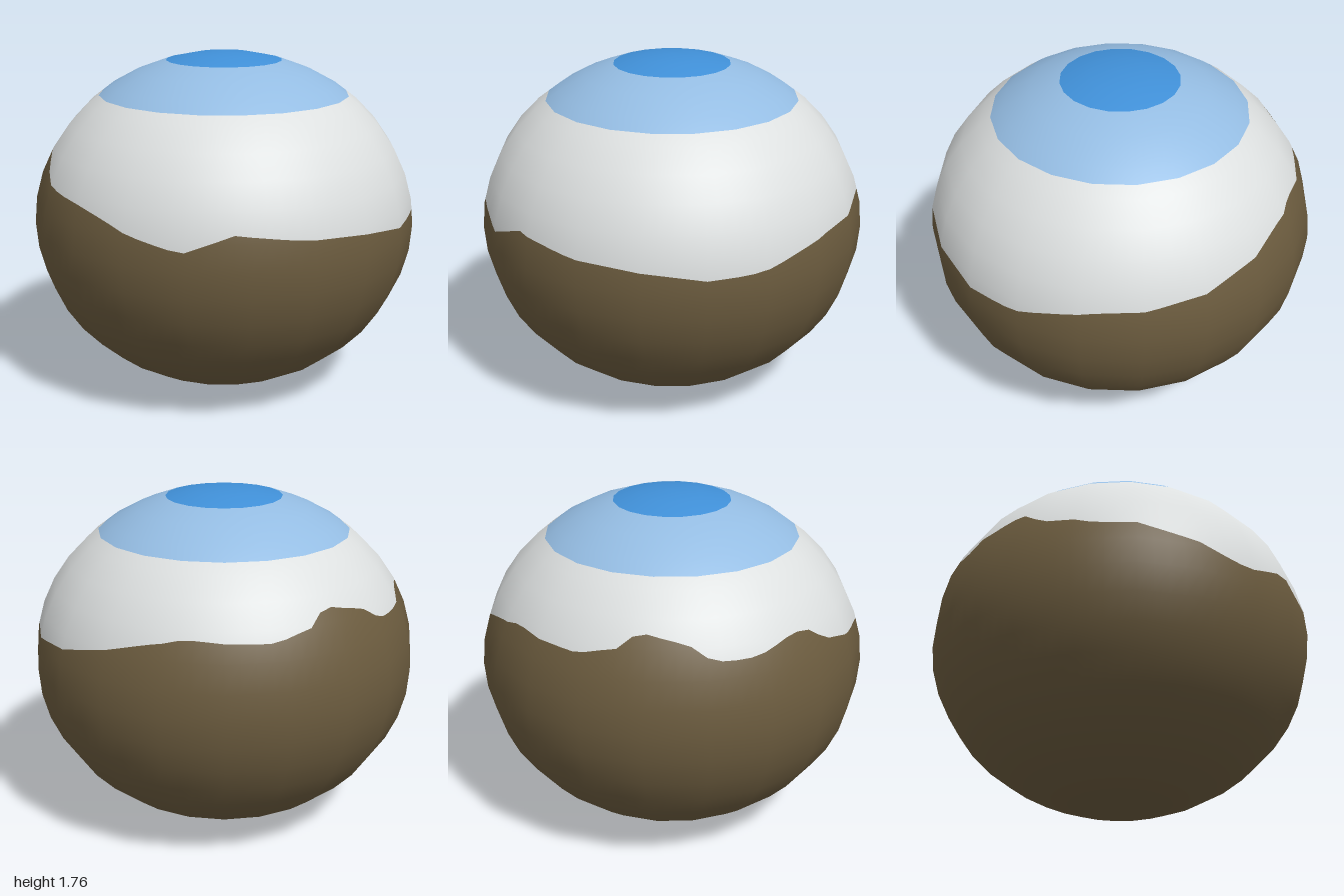
import * as THREE from 'three';

const SIDES = 20;      // facets around
const RINGS = 20;      // facets from pole to pole
const SPLIT = 4;       // columns per facet, so the ragged coast can wander
const HALF = 0.882;    // half height of the squashed globe

// Coastline: [degrees from the front towards +x, height]
const COAST = [
  [-180, 1.09], [-162, 1.16], [-150, 1.21], [-138, 1.25], [-125, 1.24], [-113, 1.23],
  [-104, 1.26], [-97, 1.28], [-93, 1.36], [-89, 1.34], [-77, 1.30], [-70, 1.23], [-60, 1.22],
  [-50, 1.25], [-42, 1.28], [-36, 1.27], [-28, 1.19], [-12, 1.13], [0, 1.12], [12, 1.07],
  [24, 1.01], [35, 0.97], [50, 1.06], [66, 1.02], [90, 0.99], [108, 0.95], [120, 0.95],
  [130, 0.98], [145, 1.04], [165, 1.06], [180, 1.09],
];

function coastHeight(deg) {
  const k = Math.max(1, COAST.findIndex(([a]) => a >= deg));
  const [a0, y0] = COAST[k - 1];
  const [a1, y1] = COAST[k];
  return THREE.MathUtils.lerp(y0, y1, (deg - a0) / (a1 - a0));
}

// Ring number (fractional, 0 at the top pole) for a height
const ringAt = (y) => Math.acos((y - HALF) / HALF) / Math.PI * RINGS;

// Corner of the faceted globe
function corner(side, ring) {
  const az = side / SIDES * Math.PI * 2, polar = ring / RINGS * Math.PI;
  return new THREE.Vector3(
    Math.sin(polar) * Math.sin(az), HALF + HALF * Math.cos(polar), Math.sin(polar) * Math.cos(az));
}

// Point on the facets between corners
function surface(side, ring) {
  const s = Math.floor(side), r = Math.min(Math.floor(ring), RINGS - 1);
  const top = corner(s, r).lerp(corner(s + 1, r), side - s);
  const low = corner(s, r + 1).lerp(corner(s + 1, r + 1), side - s);
  return top.lerp(low, ring - r);
}

// Strip of the globe between two ring functions of the azimuth in degrees
function band(name, material, upper, lower) {
  const positions = [], normals = [], index = [];
  const cols = SIDES * SPLIT, row = RINGS + 1;
  for (let i = 0; i <= cols; i++) {
    const deg = -180 + 360 * i / cols;
    const hi = upper(deg), lo = lower(deg);
    for (let j = 0; j <= RINGS; j++) {
      const p = surface(deg / 360 * SIDES, THREE.MathUtils.clamp(j, hi, lo));
      const n = new THREE.Vector3(p.x, (p.y - HALF) / (HALF * HALF), p.z).normalize();
      positions.push(p.x, p.y, p.z);
      normals.push(n.x, n.y, n.z);
    }
  }
  // Skip rows that were clamped to nothing
  const differs = (a, b) => Math.abs(positions[a * 3 + 1] - positions[b * 3 + 1]) > 1e-7;
  for (let i = 0; i < cols; i++) {
    for (let j = 0; j < RINGS; j++) {
      const a = i * row + j, b = a + 1, c = a + row, d = c + 1;
      if (differs(a, b)) index.push(a, b, c);
      if (differs(c, d)) index.push(b, d, c);
    }
  }
  const geometry = new THREE.BufferGeometry();
  geometry.setAttribute('position', new THREE.Float32BufferAttribute(positions, 3));
  geometry.setAttribute('normal', new THREE.Float32BufferAttribute(normals, 3));
  geometry.setIndex(index);
  const mesh = new THREE.Mesh(geometry, material);
  mesh.name = name;
  return mesh;
}

function paint(name, color) {
  const material = new THREE.MeshStandardMaterial({ color });
  material.name = name;
  return material;
}

export function createModel() {
  const group = new THREE.Group();
  group.name = 'globe';

  const coast = (deg) => ringAt(coastHeight(deg));
  const iceEdge = () => ringAt(1.55);
  const poolEdge = () => ringAt(1.723);

  group.add(
    band('earthBody', paint('earth brown', 0x6b5b3e), coast, () => RINGS),
    band('snowBand', paint('snow white', 0xdcdfdf), iceEdge, coast),
    band('iceRing', paint('ice blue', 0x94bce2), poolEdge, iceEdge),
    band('polarCap', paint('deep blue', 0x4090d8), () => 0, poolEdge),
  );
  return group;
}
